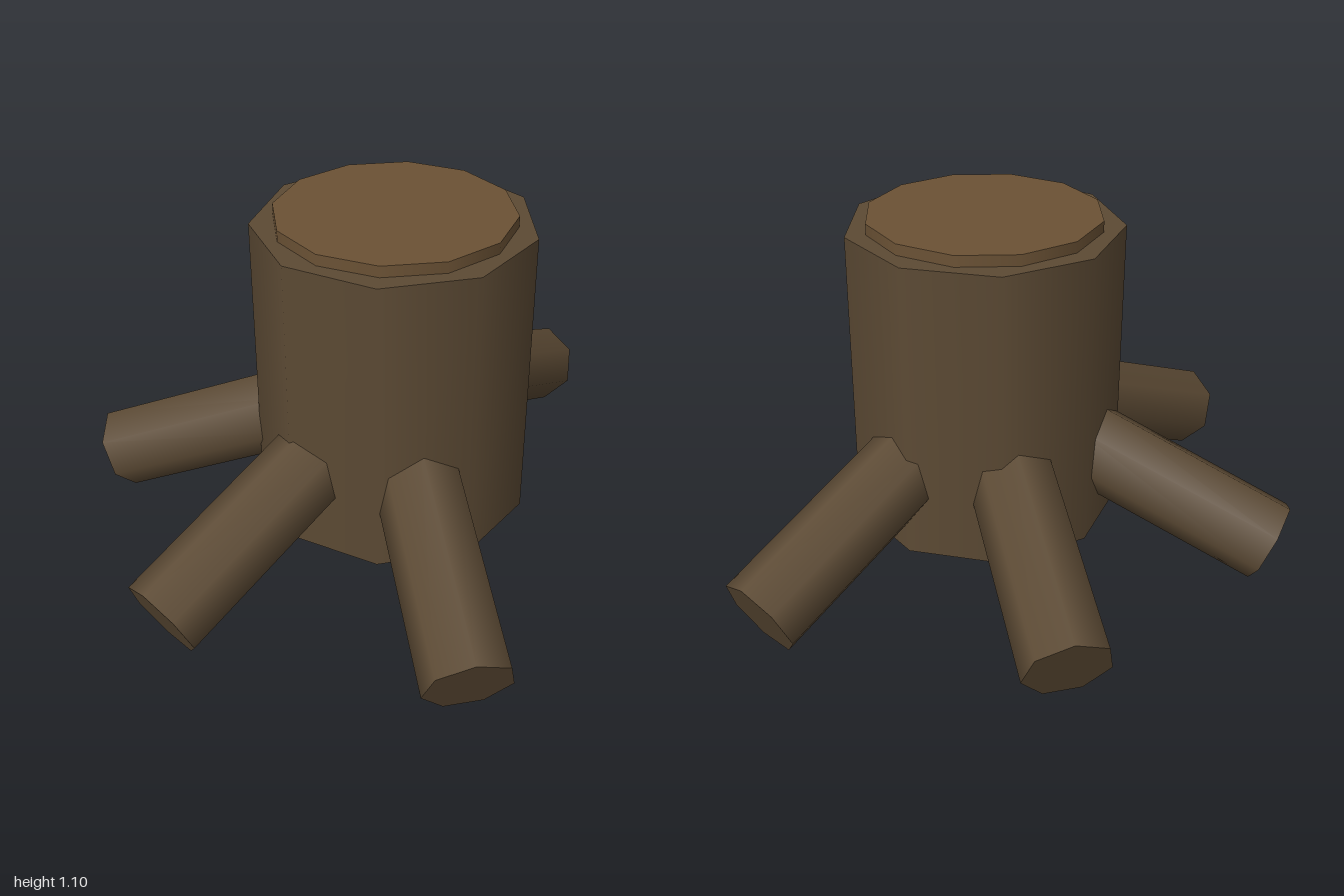
import * as THREE from 'three';

const bark = new THREE.MeshStandardMaterial({ color: 0x5c4a34 });
const cutWood = new THREE.MeshStandardMaterial({ color: 0x6b5235 });

function prism(name, radius, height, sides, material) {
  const mesh = new THREE.Mesh(new THREE.CylinderGeometry(radius, radius, height, sides), material);
  mesh.name = name;
  return mesh;
}

export function createModel() {
  const stump = new THREE.Group();
  stump.name = 'treeStump';

  // Nine-sided trunk with a corner pointing to the back
  const trunk = prism('trunk', 0.43, 0.95, 9, bark);
  trunk.position.y = 0.59;
  trunk.rotation.y = Math.PI;
  stump.add(trunk);

  // Thin disc of cut wood on top
  const cutTop = prism('cutTop', 0.365, 0.035, 12, cutWood);
  cutTop.position.y = 1.0825;
  stump.add(cutTop);

  // Five sloping roots, one radian apart, each with a ridge on its upper side
  const tilt = 0.4, length = 0.7;
  for (let i = 0; i < 5; i++) {
    const root = prism('root' + (i + 1), 0.136, length, 7, bark);
    root.geometry
      .rotateX(-Math.PI / 2)
      .rotateY(-Math.PI / 2)
      .rotateZ(-tilt)
      .translate(0.947 - Math.cos(tilt) * length / 2, 0.113 + Math.sin(tilt) * length / 2, 0);
    root.rotation.y = i;
    stump.add(root);
  }

  stump.position.set(-0.005, 0, 0.06);
  const model = new THREE.Group();
  model.add(stump);
  return model;
}
